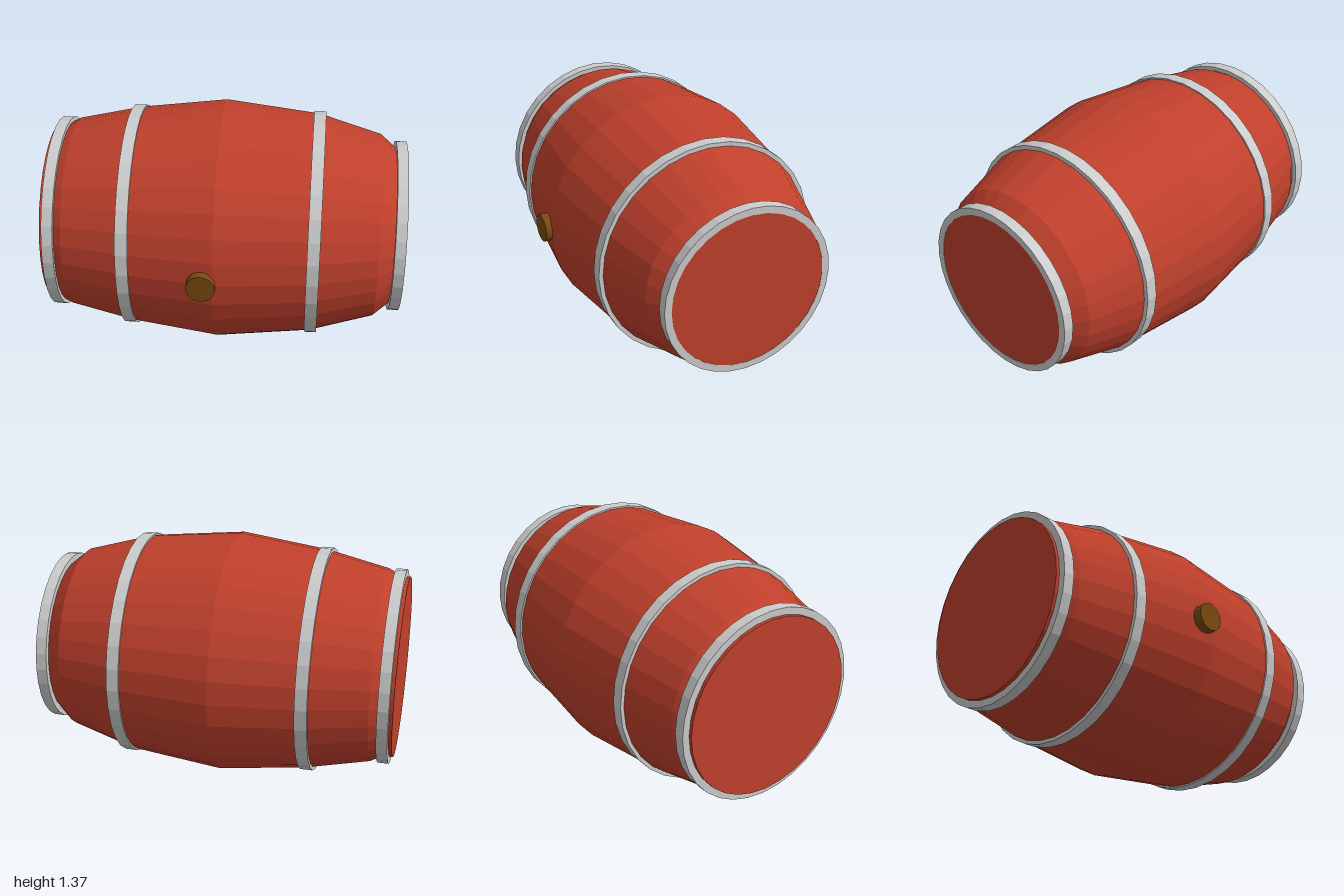
import * as THREE from 'three';

const SIDES = 32;

const material = (color) => new THREE.MeshStandardMaterial({ color, flatShading: true });

// Solid of revolution around the x axis, from [x, radius] pairs
function revolve(name, profile, mat) {
  const points = profile.map(([x, r]) => new THREE.Vector2(r, x));
  const mesh = new THREE.Mesh(new THREE.LatheGeometry(points, SIDES), mat);
  mesh.rotation.z = -Math.PI / 2;
  mesh.name = name;
  return mesh;
}

export function createModel() {
  const group = new THREE.Group();
  group.name = 'barrel';
  const red = material(0xc0402c);
  const grey = material(0xcccccc);
  const brown = material(0x7a4a10);

  // Body lying on its side, with both end caps
  const body = new THREE.Group();
  body.name = 'barrelAssembly';
  body.position.set(0, 0.69, -0.016);
  group.add(body);
  body.add(revolve('barrelBody', [
    [-1, 0], [-1, 0.51], [-0.95, 0.51], [-0.875, 0.547], [-0.52, 0.625], [-0.03, 0.687],
    [0.5, 0.628], [0.855, 0.525], [0.945, 0.447], [0.998, 0.447], [0.998, 0],
  ], red));

  // Hoops: start x, end x, inner radius, outer radius
  const hoops = {
    rightEndHoop: [-0.98, -0.918, 0.505, 0.55],
    rightMiddleHoop: [-0.56, -0.492, 0.6, 0.637],
    leftMiddleHoop: [0.47, 0.538, 0.6, 0.641],
    leftEndHoop: [0.94, 1, 0.447, 0.487],
  };
  for (const [name, [a, b, inner, outer]] of Object.entries(hoops)) {
    body.add(revolve(name, [[a, inner], [a, outer], [b, outer], [b, inner], [a, inner]], grey));
  }

  // Bung plugged into the front
  const bung = new THREE.Mesh(new THREE.CylinderGeometry(0.079, 0.079, 0.1, SIDES), brown);
  bung.name = 'bung';
  bung.rotation.x = Math.PI / 2;
  bung.position.set(-0.09, 0.69, 0.653);
  group.add(bung);

  return group;
}
